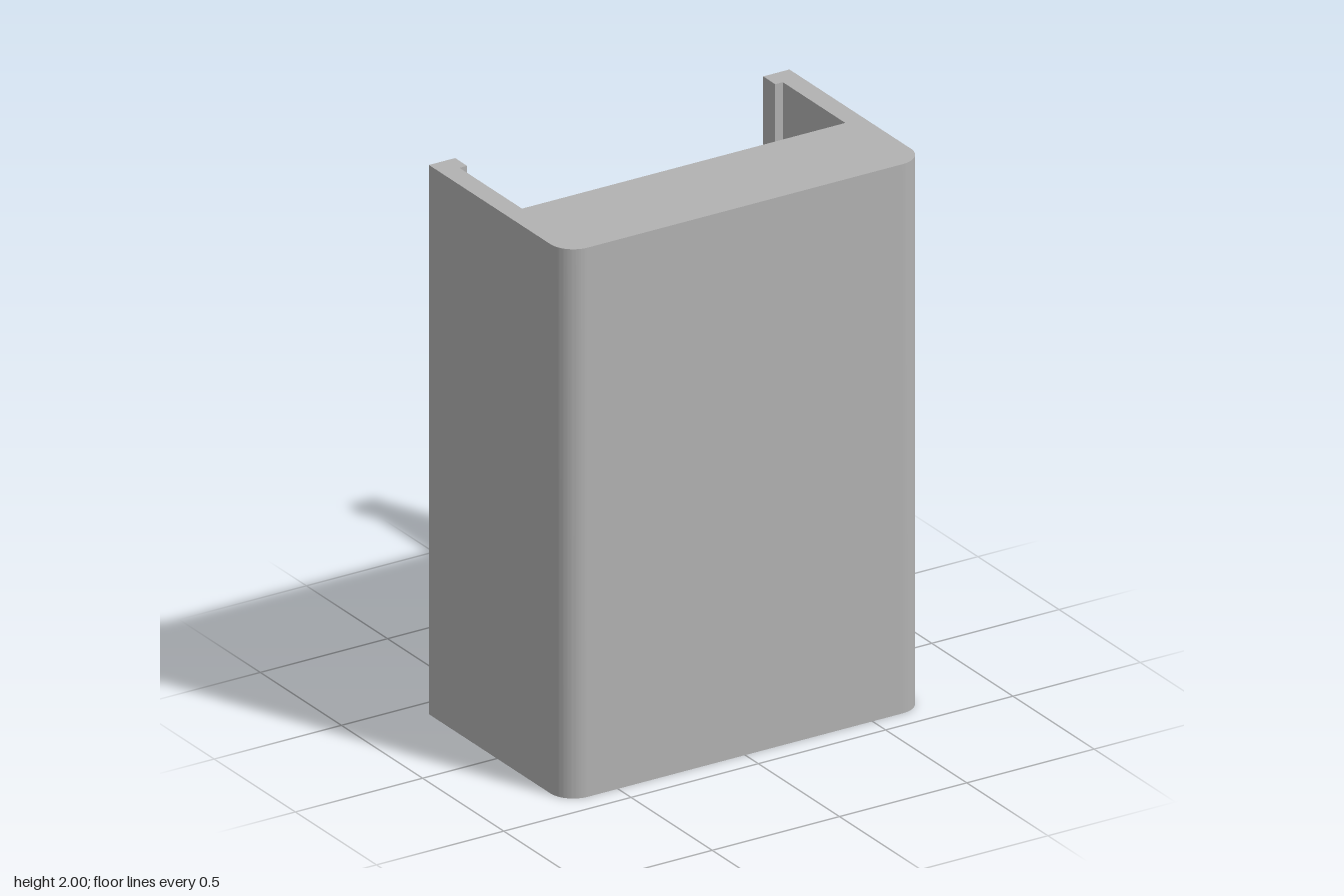
import * as THREE from 'three';
import { toCreasedNormals } from 'three/addons/utils/BufferGeometryUtils.js';

const HEIGHT = 2;
const HALF_W = 0.708, HALF_D = 0.419; // outer half width and half depth
const RADIUS = 0.09;                  // rounded front corners
const WALL_X = 0.635, FLOOR_Z = 0.04; // channel side and bottom
const LIP_X = 0.605, LIP_Z = -0.345;  // inward lips at the back

export function createModel() {
  const group = new THREE.Group();
  group.name = 'channelBracket';
  const grey = new THREE.MeshStandardMaterial({ color: 0xb2b2b2 });
  grey.name = 'grey';

  // Plan outline, drawn with shape y = -z
  const s = new THREE.Shape();
  s.moveTo(-HALF_W + RADIUS, -HALF_D);
  s.lineTo(HALF_W - RADIUS, -HALF_D);
  s.absarc(HALF_W - RADIUS, -HALF_D + RADIUS, RADIUS, -Math.PI / 2, 0, false);
  s.lineTo(HALF_W, HALF_D);
  s.lineTo(LIP_X, HALF_D);
  s.lineTo(LIP_X, -LIP_Z);
  s.lineTo(WALL_X, -LIP_Z);
  s.lineTo(WALL_X, -FLOOR_Z);
  s.lineTo(-WALL_X, -FLOOR_Z);
  s.lineTo(-WALL_X, -LIP_Z);
  s.lineTo(-LIP_X, -LIP_Z);
  s.lineTo(-LIP_X, HALF_D);
  s.lineTo(-HALF_W, HALF_D);
  s.lineTo(-HALF_W, -HALF_D + RADIUS);
  s.absarc(-HALF_W + RADIUS, -HALF_D + RADIUS, RADIUS, Math.PI, Math.PI * 1.5, false);

  // Stand the extrusion upright, smooth only around the rounded corners
  const extruded = new THREE.ExtrudeGeometry(s, { depth: HEIGHT, bevelEnabled: false, curveSegments: 16 });
  extruded.rotateX(-Math.PI / 2);
  const body = new THREE.Mesh(toCreasedNormals(extruded, 0.5), grey);
  body.name = 'lippedChannelBody';
  group.add(body);

  return group;
}
